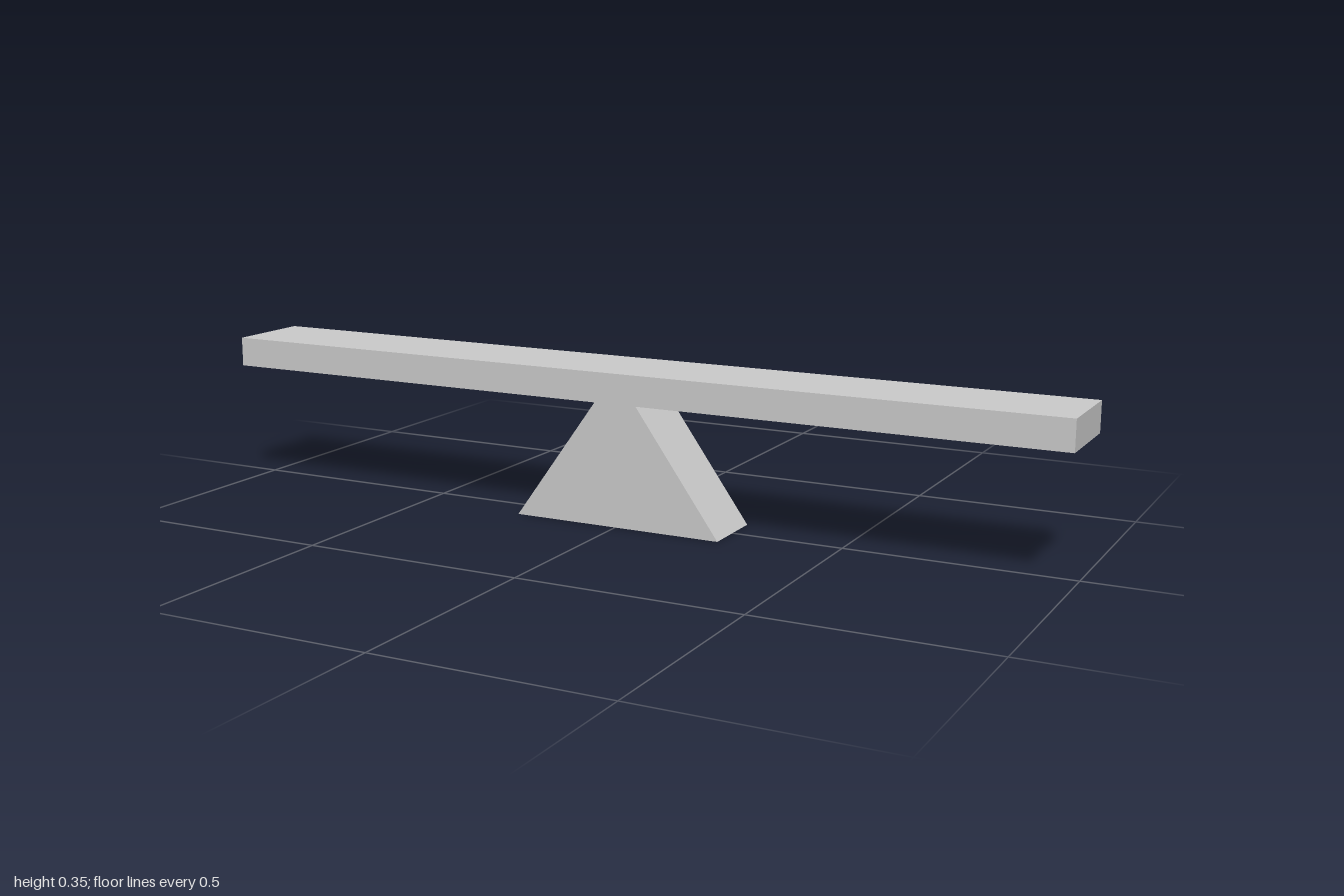
import * as THREE from 'three';

export function createModel() {
  const model = new THREE.Group();
  model.name = 'seesaw';

  const grey = new THREE.MeshStandardMaterial({ color: 0xcccccc });
  grey.name = 'light grey';

  // Long flat board
  const bottom = 0.28, top = 0.347;
  const plank = new THREE.Mesh(new THREE.BoxGeometry(2, top - bottom, 0.2), grey);
  plank.name = 'plank';
  plank.position.y = (bottom + top) / 2;
  model.add(plank);

  // Triangular prism support, its ridge sunk into the board
  const depth = 0.156;
  const profile = new THREE.Shape([
    new THREE.Vector2(-0.247, 0),
    new THREE.Vector2(0.247, 0),
    new THREE.Vector2(0, 0.345),
  ]);
  const prism = new THREE.ExtrudeGeometry(profile, { depth, bevelEnabled: false });
  prism.translate(0, 0, -depth / 2);
  const fulcrum = new THREE.Mesh(prism, grey);
  fulcrum.name = 'fulcrum';
  model.add(fulcrum);

  return model;
}
